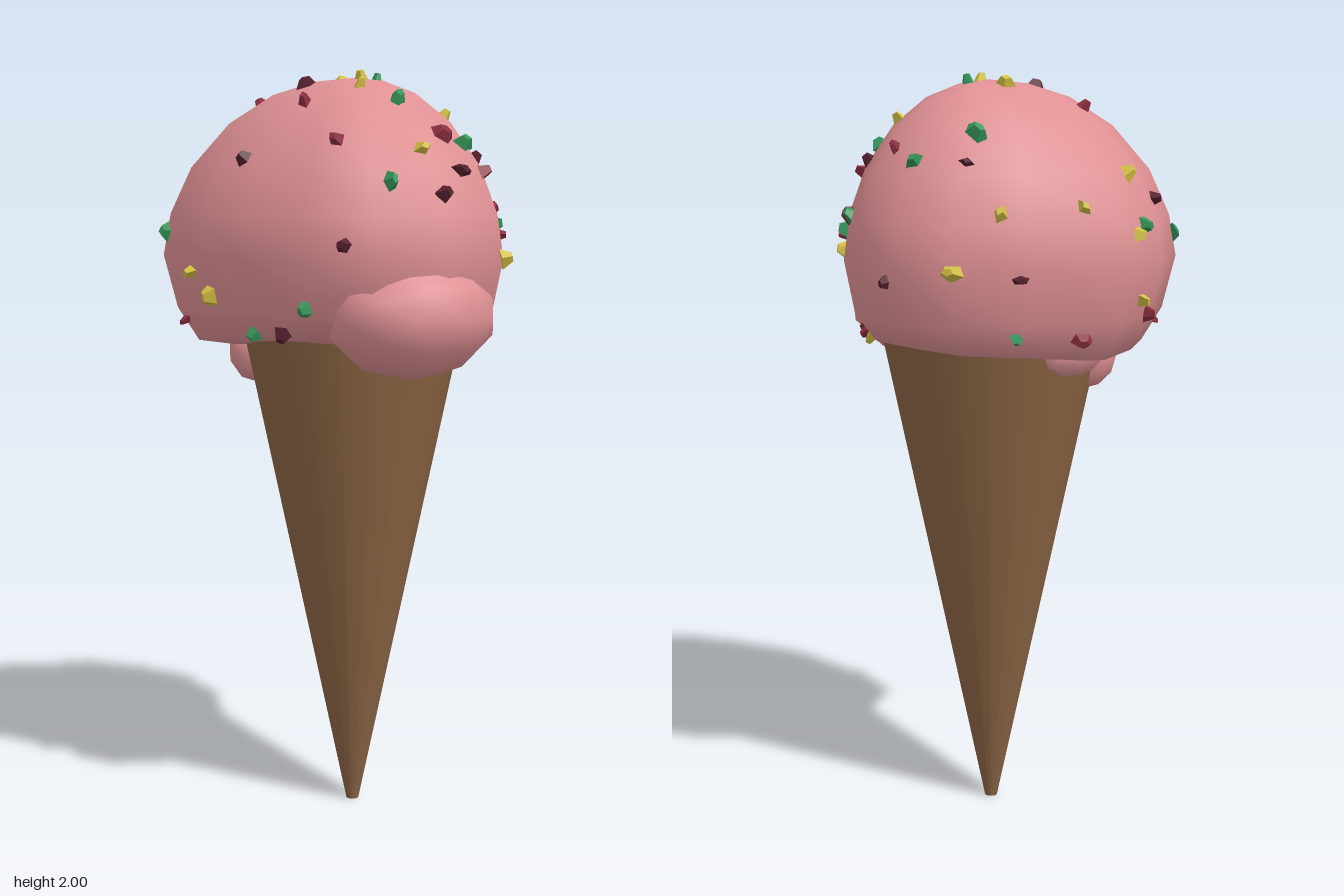
import * as THREE from 'three';
import { mergeVertices } from 'three/addons/utils/BufferGeometryUtils.js';

const mat = (name, color, flatShading = false) => {
  const m = new THREE.MeshStandardMaterial({ color, flatShading });
  m.name = name;
  return m;
};

// Plan outline of the scoop (x, z), and its profile (height, scale of the outline)
const OUTLINE = [
  [0.45, -0.04], [0.44, 0.16], [0.35, 0.35], [0.16, 0.4], [-0.02, 0.43], [-0.2, 0.4], [-0.38, 0.36],
  [-0.45, 0.18], [-0.49, -0.04], [-0.31, -0.25], [-0.18, -0.38], [-0.02, -0.42], [0.14, -0.38], [0.25, -0.28],
];
const PROFILE = [
  [1.985, 0], [1.975, 0.2], [1.94, 0.42], [1.865, 0.65], [1.75, 0.85], [1.63, 0.96],
  [1.52, 1], [1.38, 0.93], [1.32, 0.82], [1.3, 0.62], [1.32, 0],
];

function scoopGeometry() {
  const cx = -0.02, n = OUTLINE.length, pos = [], idx = [];
  PROFILE.forEach(([y, s]) => OUTLINE.forEach(([x, z]) => {
    // the lower rim sags on the model's right side
    const sag = y < 1.35 ? 0.045 * Math.max(0, -x / 0.49) * s : 0;
    pos.push(cx + (x - cx) * s, y - sag, z * s);
  }));
  for (let i = 0; i < PROFILE.length - 1; i++) {
    for (let j = 0; j < n; j++) {
      const k = (j + 1) % n;
      const a = i * n + j, b = i * n + k, c = a + n, d = b + n;
      if (i > 0) idx.push(a, b, c);
      if (i < PROFILE.length - 2) idx.push(b, d, c);
      else if (i === PROFILE.length - 2) continue;
    }
  }
  const g = new THREE.BufferGeometry();
  g.setAttribute('position', new THREE.Float32BufferAttribute(pos, 3));
  g.setIndex(idx);
  const merged = mergeVertices(g, 1e-4);
  merged.computeVertexNormals();
  return merged;
}

// Low-poly smooth blob for the drips around the rim
function blob(name, material, [x, y, z], [rx, ry, rz], turn = 0) {
  let g = new THREE.IcosahedronGeometry(1, 1);
  g.deleteAttribute('normal');
  g.deleteAttribute('uv');
  g = mergeVertices(g, 1e-3);
  g.scale(rx, ry, rz).rotateY(turn).translate(x, y, z);
  g.computeVertexNormals();
  const m = new THREE.Mesh(g, material);
  m.name = name;
  return m;
}

// Sprinkle positions as seen from each side: top (x, z), front and back (x, y), right and left (z, y)
const SPRINKLES = {
  red: {
    top: [[0.06, -0.29], [-0.22, 0.14], [0, 0.21], [0.17, 0.28], [0.31, 0.04], [0.34, -0.16], [0.38, -0.04]],
    front: [[-0.33, 1.35]],
    right: [[-0.28, 1.64], [-0.22, 1.33]],
    left: [[0.13, 1.39], [-0.1, 1.34]],
  },
  maroon: {
    top: [[-0.09, 0.11], [-0.4, 0.2], [-0.09, 0.34], [0.4, 0.14], [0.28, -0.13], [-0.16, -0.29], [0.38, 0.05]],
    front: [[0.27, 1.56], [0.05, 1.33]],
    right: [[-0.14, 1.33]],
    back: [[0, 1.49], [-0.3, 1.5]],
  },
  green: {
    top: [[-0.15, -0.23], [0, -0.07], [0.2, 0.08], [0.33, -0.02], [0.33, 0.26], [0.21, -0.29], [-0.03, -0.33]],
    front: [[-0.37, 1.58], [-0.04, 1.33], [0.15, 1.4]],
    right: [[-0.26, 1.6]],
    back: [[-0.27, 1.35]],
    left: [[0.07, 1.62]],
  },
  yellow: {
    top: [[-0.39, -0.11], [-0.1, -0.04], [0.03, 0.03], [0.1, 0.11], [0.21, -0.09], [0.33, 0.14], [-0.4, 0.07]],
    front: [[-0.25, 1.48], [-0.18, 1.42]],
    right: [[-0.23, 1.32], [-0.04, 1.52]],
    back: [[-0.25, 1.66], [-0.18, 1.52]],
    left: [[0.07, 1.43], [0.02, 1.6]],
  },
};
const SIDES = {
  top: (u, v) => [[u, 3, v], [0, -1, 0]],
  front: (u, v) => [[u, v, 3], [0, 0, -1]],
  back: (u, v) => [[u, v, -3], [0, 0, 1]],
  right: (u, v) => [[3, v, u], [-1, 0, 0]],
  left: (u, v) => [[-3, v, u], [1, 0, 0]],
};

export function createModel() {
  const pink = mat('strawberry pink', 0xe09194);
  const wafer = mat('wafer brown', 0x8a6443);
  const candy = {
    red: mat('candy red', 0x8e3042, true),
    maroon: mat('candy maroon', 0x56202e, true),
    green: mat('candy green', 0x35965a, true),
    yellow: mat('candy yellow', 0xd4c043, true),
  };
  const model = new THREE.Group();
  model.name = 'iceCreamCone';

  // Wafer cone
  const cone = new THREE.Mesh(new THREE.CylinderGeometry(0.3, 0.017, 1.34, 20), wafer);
  cone.position.set(-0.02, 0.67, 0.008);
  cone.name = 'waferCone';
  model.add(cone);

  // Scoop with a large overhang on one side and small drips on the other
  const iceCream = new THREE.Group();
  iceCream.name = 'iceCream';
  const scoop = new THREE.Mesh(scoopGeometry(), pink);
  scoop.name = 'scoop';
  iceCream.add(
    scoop,
    blob('overhang', pink, [0.3, 1.375, 0.14], [0.19, 0.16, 0.24], -0.12),
    blob('frontDrip', pink, [-0.23, 1.26, 0.15], [0.08, 0.09, 0.09]),
    blob('sideDrip', pink, [-0.27, 1.29, 0.02], [0.07, 0.07, 0.14]),
  );
  model.add(iceCream);

  // Sprinkles: small irregular chips set into the surface
  let seed = 7;
  const rand = (a, b) => {
    seed = (seed * 16807) % 2147483647;
    return a + (b - a) * (seed / 2147483647);
  };
  const up = new THREE.Vector3(0, 1, 0);
  const ray = new THREE.Raycaster();
  iceCream.updateMatrixWorld(true);
  for (const [colour, sides] of Object.entries(SPRINKLES)) {
    const set = new THREE.Group();
    set.name = colour + 'Sprinkles';
    for (const [side, points] of Object.entries(sides)) {
      for (const [u, v] of points) {
        const [from, dir] = SIDES[side](u, v);
        ray.set(new THREE.Vector3(...from), new THREE.Vector3(...dir));
        const hit = ray.intersectObject(iceCream, true)[0];
        if (!hit) continue;
        const r = rand(0.02, 0.032);
        const chip = new THREE.Mesh(new THREE.CylinderGeometry(r * 0.45, r, 0.03, rand(0, 1) > 0.5 ? 5 : 4), candy[colour]);
        chip.name = 'sprinkle';
        chip.position.copy(hit.point).addScaledVector(hit.face.normal, 0.008);
        chip.quaternion.setFromUnitVectors(up, hit.face.normal);
        chip.rotateY(rand(0, 6.28));
        chip.rotateX(rand(-0.35, 0.35));
        chip.scale.set(rand(1, 1.3), 1, rand(0.65, 0.95));
        set.add(chip);
      }
    }
    model.add(set);
  }
  return model;
}
